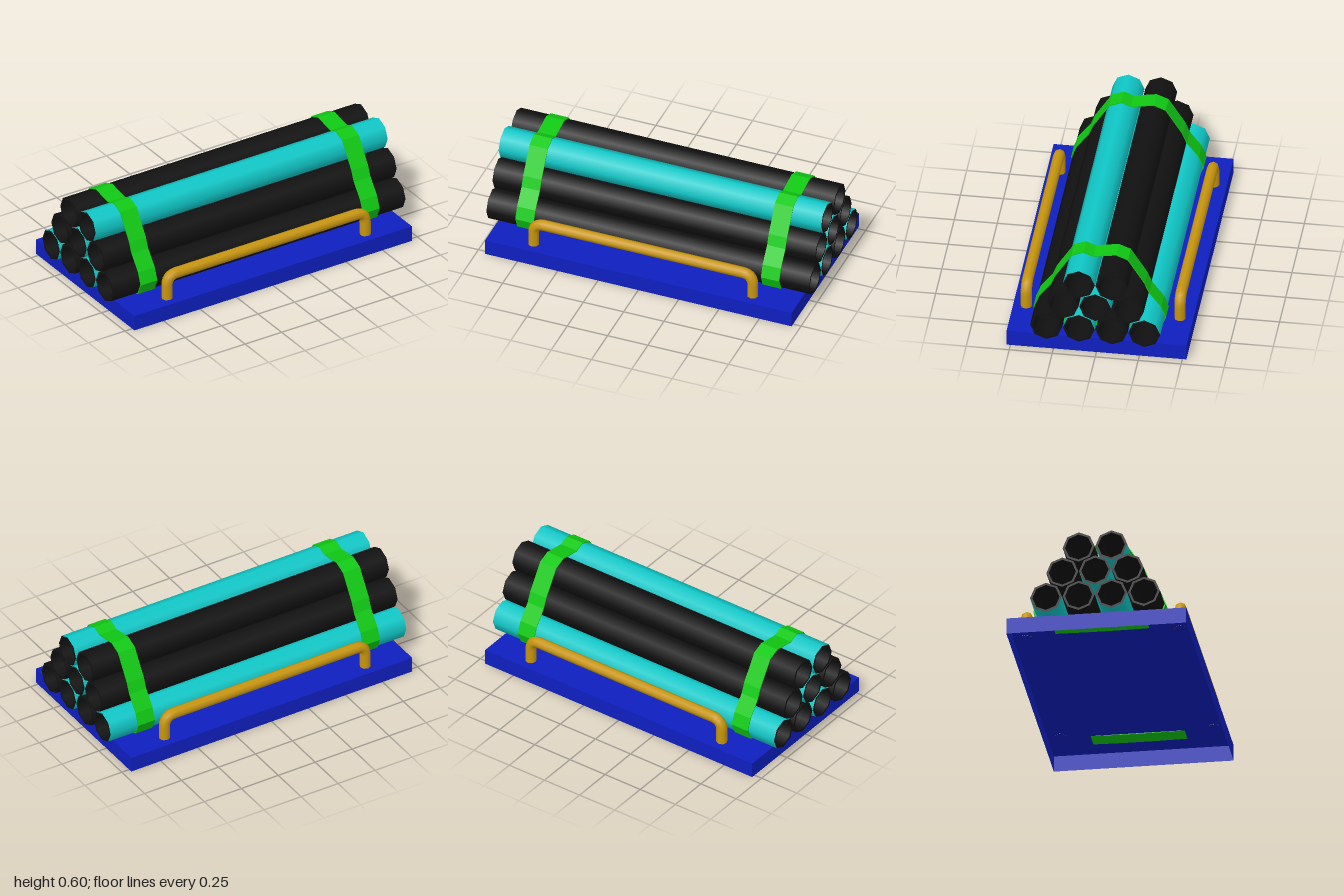
import * as THREE from 'three';

const material = (color, extra = {}) => new THREE.MeshStandardMaterial({ color, ...extra });

function addMesh(parent, name, geometry, mat) {
  const mesh = new THREE.Mesh(geometry, mat);
  mesh.name = name;
  parent.add(mesh);
  return mesh;
}

export function createModel() {
  const model = new THREE.Group();
  model.name = 'pipeStackOnPallet';

  const blue = material(0x0f1fc0, { side: THREE.DoubleSide });
  const black = material(0x111111);
  const cyan = material(0x10c8c8);
  const green = material(0x10c814);
  const yellow = material(0xc8960f);

  // Pallet: a shallow tray turned upside down, open underneath
  const top = 0.096;
  const tray = new THREE.BoxGeometry(1.9, top, 1.046).translate(0, top / 2, 0);
  const faces = Array.from(tray.index.array);
  faces.splice(18, 6); // drop the bottom face
  tray.setIndex(faces);
  tray.clearGroups();
  addMesh(model, 'pallet', tray, blue);

  // Hollow eight-sided pipes in rows of four, three and two, alternating in colour
  const R = 0.093, r = 0.079, length = 2;
  const outer = new THREE.CylinderGeometry(R, R, length, 8, 1, true).rotateZ(Math.PI / 2);
  const inner = new THREE.CylinderGeometry(r, r, length, 8, 1, true).rotateZ(Math.PI / 2);
  const faceOrder = inner.index.array; // turn the bore to face inwards
  for (let i = 0; i < faceOrder.length; i += 3) {
    [faceOrder[i], faceOrder[i + 1]] = [faceOrder[i + 1], faceOrder[i]];
  }
  const normals = inner.attributes.normal.array;
  for (let i = 0; i < normals.length; i++) normals[i] *= -1;
  const rim = new THREE.RingGeometry(r, R, 8, 1).rotateY(Math.PI / 2).translate(length / 2, 0, 0);

  let index = 0;
  [[4, 0.191], [3, 0.345], [2, 0.498]].forEach(([count, y]) => {
    for (let i = 0; i < count; i++) {
      const pipe = new THREE.Group();
      pipe.name = 'pipe';
      addMesh(pipe, 'pipeWall', outer, index++ % 2 ? cyan : black);
      addMesh(pipe, 'pipeBore', inner, black);
      addMesh(pipe, 'pipeRim', rim, black);
      addMesh(pipe, 'pipeRim', rim, black).rotation.y = Math.PI;
      pipe.position.set(0, y, ((count - 1) / 2 - i) * 0.19);
      model.add(pipe);
    }
  });

  // Straps: a thin band wrapped around the stack, sagging between the top pipes
  const side = [
    [0.095, 0.599], [0.165, 0.571], [0.263, 0.417], [0.288, 0.355], [0.358, 0.263],
    [0.386, 0.19], [0.356, 0.118], [0.268, 0.0945], [0.095, 0.092],
  ];
  const mirrored = side.map(([z, y]) => [-z, y]).reverse();
  const loop = [...side, ...mirrored, [0.039, 0.576]].map(([z, y]) => new THREE.Vector2(-z, y));
  const band = new THREE.Shape(loop);
  const middle = 0.345, shrink = 0.983;
  band.holes.push(new THREE.Path(
    loop.map((p) => new THREE.Vector2(p.x * shrink, middle + (p.y - middle) * shrink))));
  const width = 0.113;
  const strap = new THREE.ExtrudeGeometry(band, { depth: width, bevelEnabled: false })
    .translate(0, 0, -width / 2).rotateY(Math.PI / 2);
  for (const s of [-1, 1]) addMesh(model, 'strap', strap, green).position.x = s * 0.761;

  // Side rails: a bent bar along the front and the back
  const v = (x, y) => new THREE.Vector3(x, y, 0);
  const legX = 0.679, railY = 0.243, bend = 0.065;
  const path = new THREE.CurvePath();
  path.add(new THREE.LineCurve3(v(-legX, top - 0.001), v(-legX, railY - bend)));
  path.add(new THREE.QuadraticBezierCurve3(
    v(-legX, railY - bend), v(-legX, railY), v(-legX + bend, railY)));
  path.add(new THREE.LineCurve3(v(-legX + bend, railY), v(legX - bend, railY)));
  path.add(new THREE.QuadraticBezierCurve3(
    v(legX - bend, railY), v(legX, railY), v(legX, railY - bend)));
  path.add(new THREE.LineCurve3(v(legX, railY - bend), v(legX, top - 0.001)));
  const rail = new THREE.TubeGeometry(path, 80, 0.033, 8);
  for (const s of [-1, 1]) addMesh(model, 'sideRail', rail, yellow).position.z = s * 0.447;

  return model;
}
